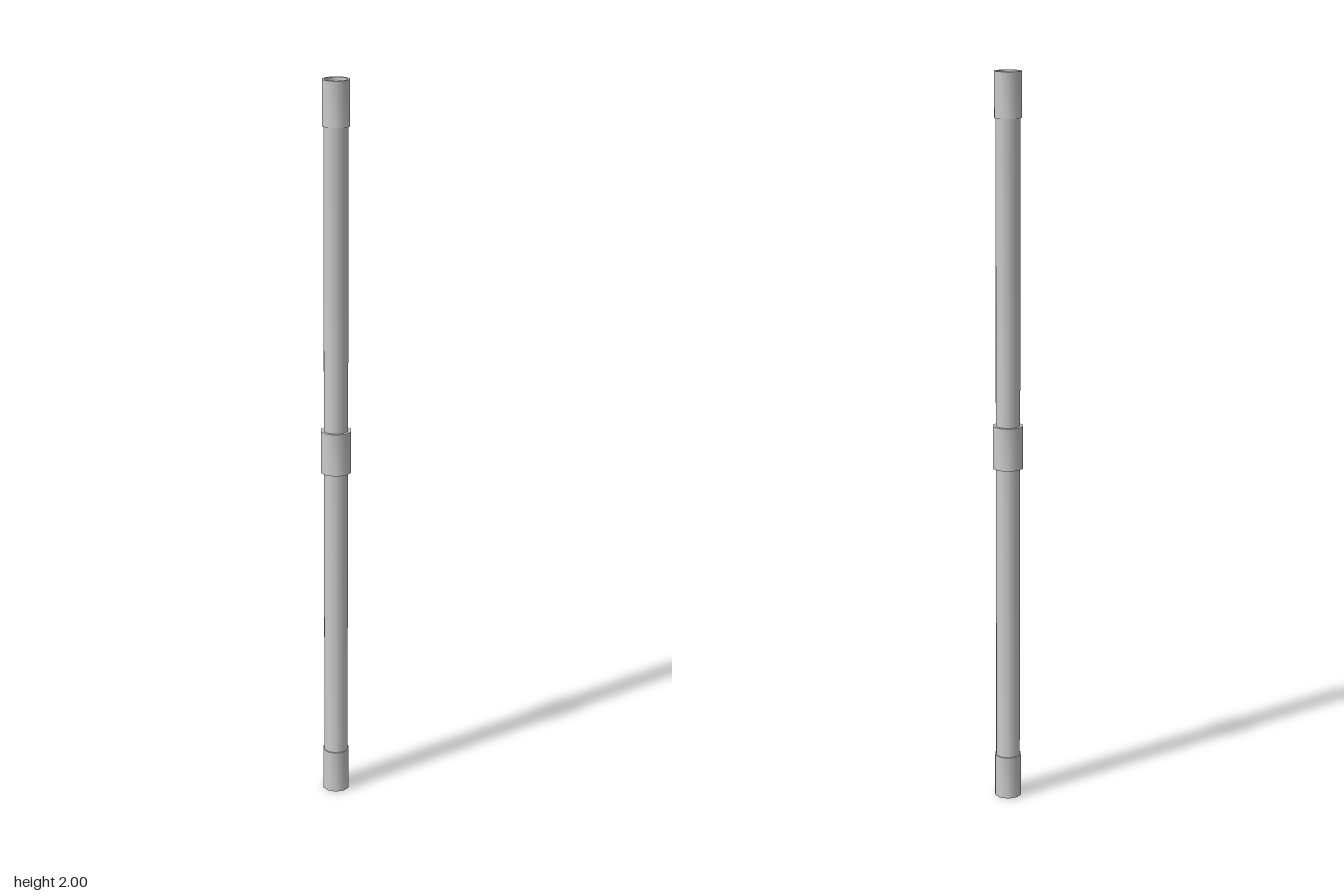
import * as THREE from 'three';
import { toCreasedNormals } from 'three/addons/utils/BufferGeometryUtils.js';

const SIDES = 10;
const BORE = 0.031;
const SHAFT_RADIUS = 0.034;
const COLLAR_RADIUS = 0.0375;
const COUPLING_RADIUS = 0.042;
const COLLAR_HEIGHT = 0.12;
const HEIGHT = 2;

export function createModel() {
  const group = new THREE.Group();
  group.name = 'pipe';
  const material = new THREE.MeshStandardMaterial({ color: 0xcccccc });

  // Hollow ten-sided sleeve, smooth around its wall and sharp at its rims
  function addSleeve(name, inner, outer, bottom, top) {
    const profile = [
      [inner, bottom], [outer, bottom], [outer, top], [inner, top], [inner, bottom],
    ].map(([r, y]) => new THREE.Vector2(r, y));
    const geometry = toCreasedNormals(new THREE.LatheGeometry(profile, SIDES), 0.7);
    const mesh = new THREE.Mesh(geometry, material);
    mesh.name = name;
    group.add(mesh);
  }

  // Long open tube between the end collars
  addSleeve('shaft', BORE, SHAFT_RADIUS, COLLAR_HEIGHT, HEIGHT - COLLAR_HEIGHT);

  // Collars at both ends
  addSleeve('bottomCollar', BORE, COLLAR_RADIUS, 0, COLLAR_HEIGHT);
  addSleeve('topCollar', BORE, COLLAR_RADIUS, HEIGHT - COLLAR_HEIGHT, HEIGHT);

  // Wider coupling around the middle of the shaft
  addSleeve('middleCoupling', SHAFT_RADIUS - 0.001, COUPLING_RADIUS, 0.943, 1.06);

  return group;
}
